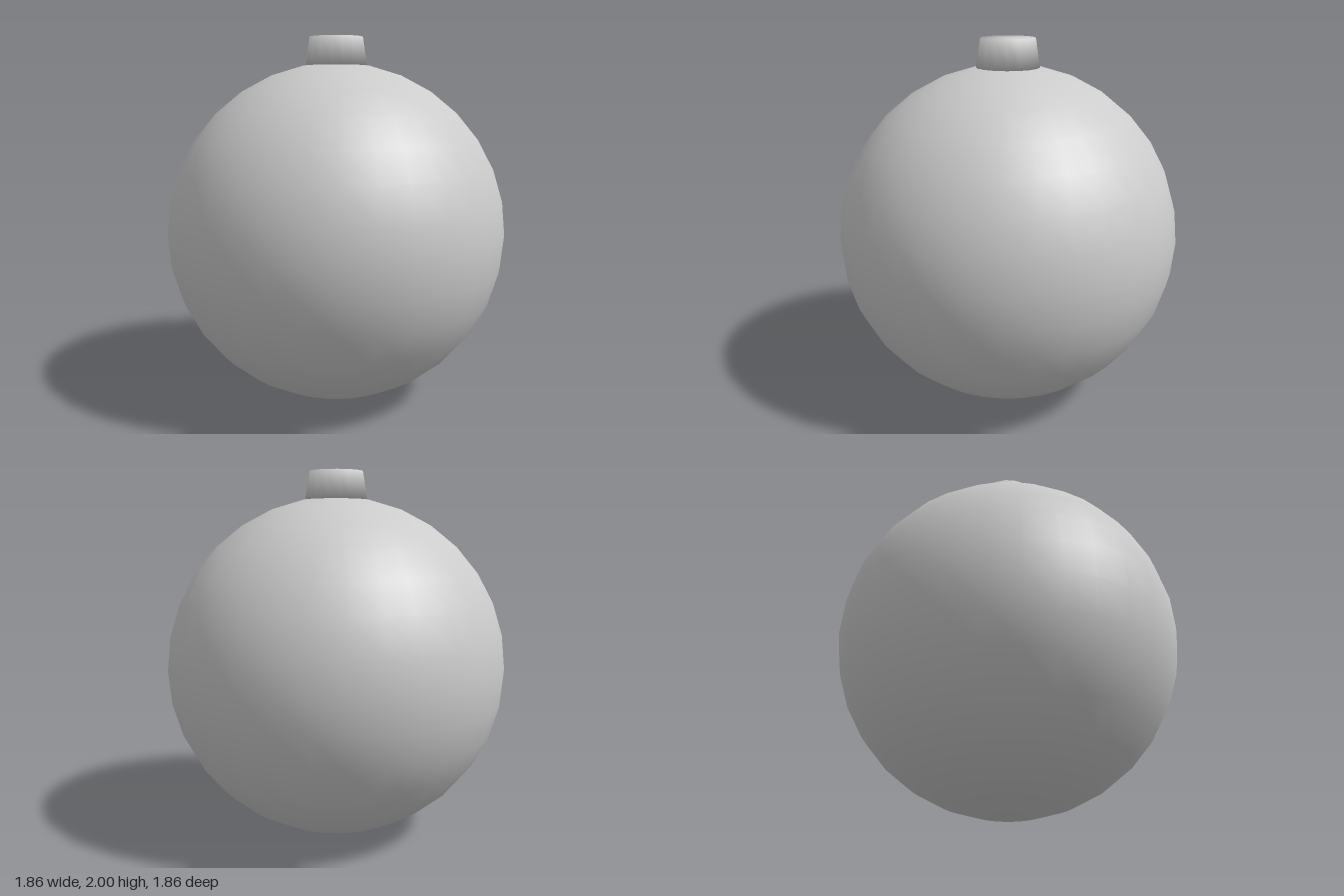
import * as THREE from 'three';

export function createModel() {
  const model = new THREE.Group();
  const material = new THREE.MeshStandardMaterial({ color: 0xcccccc });
  const radius = 0.932;

  // Round body resting on the ground
  const body = new THREE.Mesh(new THREE.SphereGeometry(radius, 32, 16), material);
  body.name = 'body';
  body.position.y = radius;

  // Tapered closed neck, its normals smoothed across the rims
  const profile = [[0, 1.846], [0.17, 1.846], [0.147, 2], [0, 2]]
    .map(([r, y]) => new THREE.Vector2(r, y));
  const neck = new THREE.Mesh(new THREE.LatheGeometry(profile, 16), material);
  neck.name = 'neck';

  model.add(body, neck);
  return model;
}
